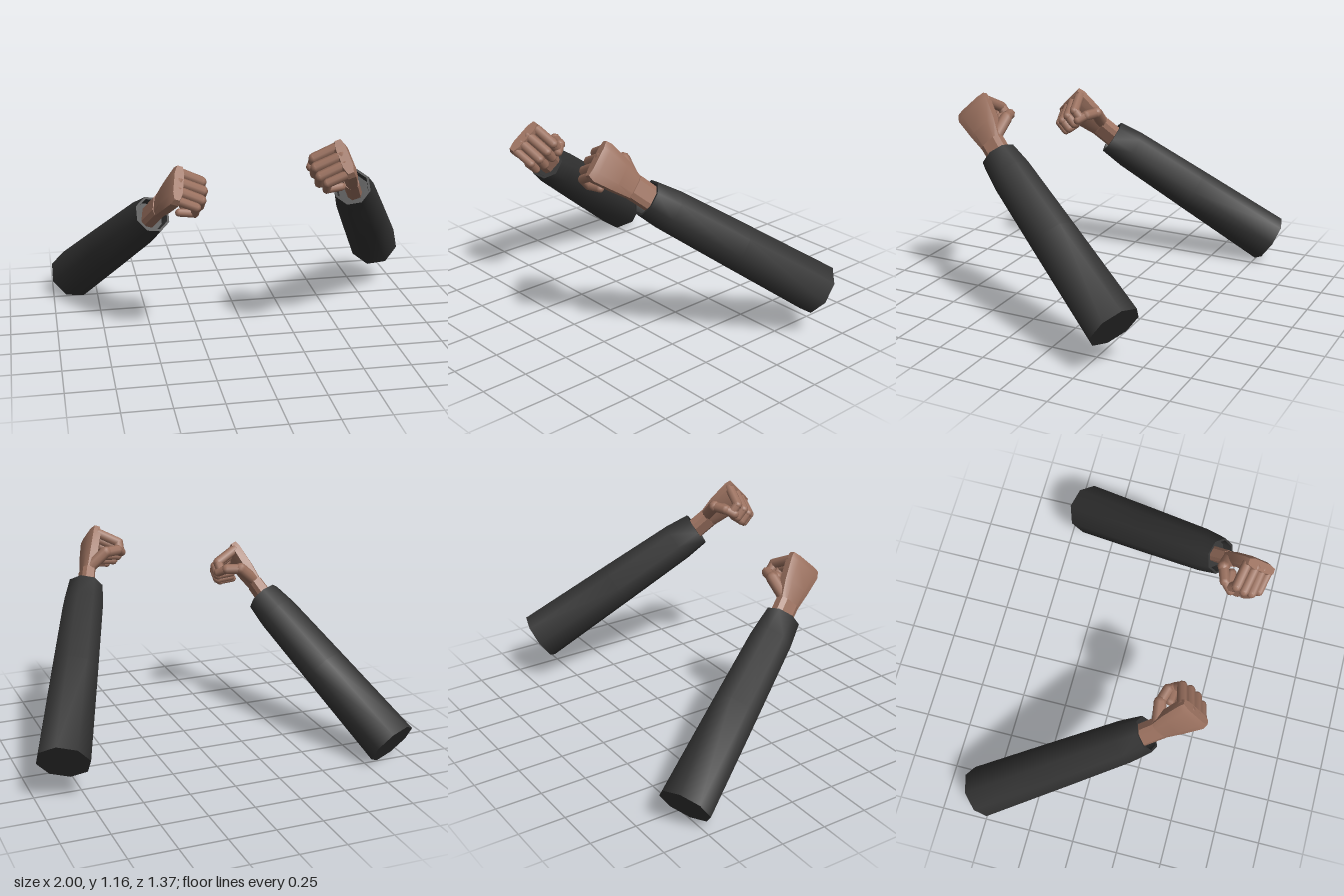
import * as THREE from 'three';
import { toCreasedNormals } from 'three/addons/utils/BufferGeometryUtils.js';

const V = (x, y, z) => new THREE.Vector3(x, y, z);

// Closed loft of eight-sided rings. Each section is [centre, radius along a, radius along b];
// a, b and the loft direction are right-handed. power < 1 makes the rings boxier.
function loft(sections, a, b, place, mirrored, power, crease) {
  const pos = [], idx = [], n = 8;
  const bend = (v) => Math.sign(v) * Math.abs(v) ** power;
  for (const [c, ra, rb] of sections) {
    for (let k = 0; k < n; k++) {
      const t = ((k + 0.5) / n) * Math.PI * 2;
      const p = c.clone().addScaledVector(a, ra * bend(Math.cos(t))).addScaledVector(b, rb * bend(Math.sin(t)));
      pos.push(...place(p).toArray());
    }
  }
  const tri = (i, j, k) => (mirrored ? idx.push(i, k, j) : idx.push(i, j, k));
  const last = (sections.length - 1) * n;
  for (let r = 0; r < last; r += n) {
    for (let k = 0; k < n; k++) {
      const m = (k + 1) % n;
      tri(r + k, r + m, r + n + m);
      tri(r + k, r + n + m, r + n + k);
    }
  }
  for (let k = 1; k < n - 1; k++) {
    tri(0, k + 1, k);
    tri(last, last + k, last + k + 1);
  }
  const g = new THREE.BufferGeometry();
  g.setAttribute('position', new THREE.Float32BufferAttribute(pos, 3));
  g.setIndex(idx);
  return toCreasedNormals(g, crease);
}

// Capsule between two points
function phalanx(p, q, radius, material, name) {
  const d = q.clone().sub(p);
  const m = new THREE.Mesh(new THREE.CapsuleGeometry(radius, d.length(), 3, 8), material);
  m.position.copy(p).addScaledVector(d, 0.5);
  m.quaternion.setFromUnitVectors(V(0, 1, 0), d.normalize());
  m.name = name;
  return m;
}

function buildArm(mirrored, offset, cloth, skin) {
  const arm = new THREE.Group();
  const place = (p) => V(mirrored ? -p.x : p.x, p.y, p.z).add(offset);
  const add = (geometry, material, name) => {
    const m = new THREE.Mesh(geometry, material);
    m.name = name;
    arm.add(m);
  };

  // Sleeve, with a turned-in cuff
  const elbow = V(0.88, 0.24, -0.41), cuff = V(0.5, 0.855, 0.43);
  const axis = cuff.clone().sub(elbow).normalize();
  const a = V(1, 0, 0).addScaledVector(axis, -axis.x).normalize();
  const b = axis.clone().cross(a);
  const rings = [[0, 0.14], [0.5, 0.125], [0.88, 0.112], [1, 0.097], [1, 0.085], [0.95, 0.08]];
  add(loft(rings.map(([t, r]) => [elbow.clone().lerp(cuff, t), r, r]), a, b, place, mirrored, 1, 0.9), cloth, 'sleeve');

  // Wrist and back of the hand; u points towards the index finger
  const u = V(-0.18, 0.68, -0.71).normalize();
  const n = u.clone().cross(V(-0.3, 0.67, 0.69)).normalize();
  add(loft([
    [V(0.515, 0.83, 0.39), 0.04, 0.062],
    [V(0.47, 0.92, 0.49), 0.037, 0.064],
  ], n, u, place, mirrored, 0.6, 0.5), skin, 'wrist');
  add(loft([
    [V(0.482, 0.895, 0.468), 0.03, 0.056],
    [V(0.44, 0.98, 0.55), 0.038, 0.088],
    [V(0.403, 1.055, 0.63), 0.037, 0.108],
    [V(0.393, 1.08, 0.65), 0.026, 0.1],
  ], n, u, place, mirrored, 0.6, 0.5), skin, 'palm');

  // Four curled fingers: knuckle and outer bend
  const fingers = [
    ['index', V(0.38, 1.108, 0.575), V(0.268, 1.05, 0.55)],
    ['middle', V(0.39, 1.075, 0.62), V(0.268, 1.015, 0.592)],
    ['ring', V(0.4, 1.04, 0.655), V(0.282, 0.98, 0.632)],
    ['little', V(0.41, 1.005, 0.69), V(0.31, 0.955, 0.667)],
  ];
  fingers.forEach(([name, knuckle, bend], i) => {
    const r = i === 3 ? 0.023 : 0.027;
    const fold = bend.clone().add(V(0.005, -0.042, -0.035));
    const tip = fold.clone().add(V(0.075, 0.008, -0.005));
    const path = [knuckle, bend, fold, tip].map(place);
    for (let k = 0; k < 3; k++) {
      arm.add(phalanx(path[k], path[k + 1], r - k * 0.001, skin, `${name}Finger${k + 1}`));
    }
  });

  // Thumb arching over the palm side
  const thumb = [V(0.455, 0.95, 0.475), V(0.37, 1.025, 0.463), V(0.295, 1.025, 0.485), V(0.26, 1.0, 0.525)].map(place);
  [0.033, 0.028, 0.025].forEach((r, k) => arm.add(phalanx(thumb[k], thumb[k + 1], r, skin, `thumb${k + 1}`)));
  return arm;
}

export function createModel() {
  const cloth = new THREE.MeshStandardMaterial({ color: 0x333333 });
  cloth.name = 'dark cloth';
  const skin = new THREE.MeshStandardMaterial({ color: 0x9c7260 });
  skin.name = 'skin';

  const model = new THREE.Group();
  model.name = 'arms';
  const left = buildArm(false, V(0, 0, 0), cloth, skin);
  left.name = 'leftArm';
  const right = buildArm(true, V(0, -0.133, -0.145), cloth, skin);
  right.name = 'rightArm';
  model.add(left, right);
  return model;
}
